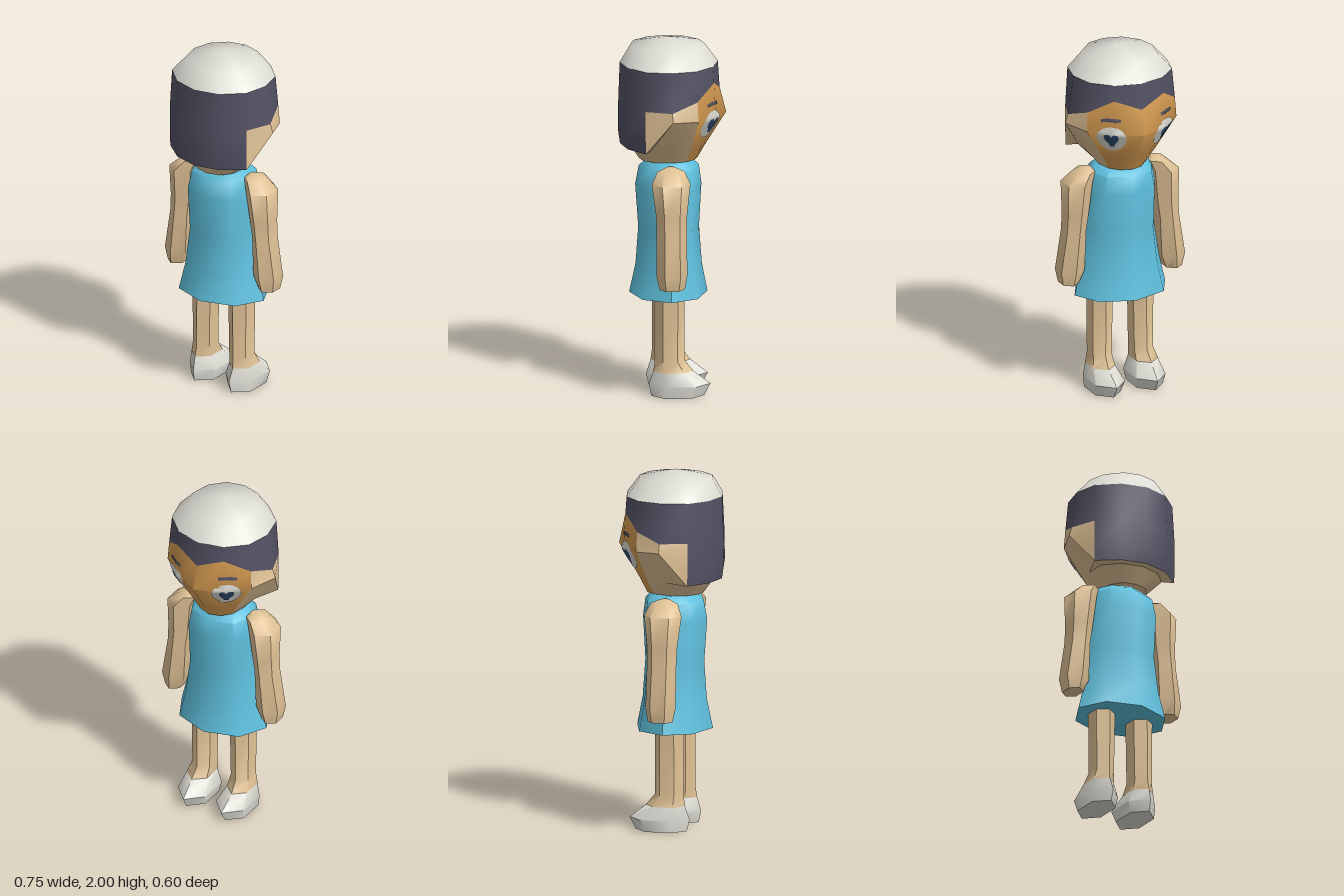
import * as THREE from 'three';
import { toCreasedNormals } from 'three/addons/utils/BufferGeometryUtils.js';

const mat = (name, color) => {
  const m = new THREE.MeshStandardMaterial({ color });
  m.name = name;
  return m;
};

// Mesh from a list of Vector3 triangles, dropping collapsed ones
function meshFrom(name, tris, material, crease = 0.9) {
  const pos = [];
  for (const [a, b, c] of tris) {
    const area = b.clone().sub(a).cross(c.clone().sub(a)).length();
    if (area > 1e-7) for (const p of [a, b, c]) pos.push(p.x, p.y, p.z);
  }
  const g = new THREE.BufferGeometry();
  g.setAttribute('position', new THREE.Float32BufferAttribute(pos, 3));
  const mesh = new THREE.Mesh(toCreasedNormals(g, crease), material);
  mesh.name = name;
  return mesh;
}

// Two triangles between neighbouring points of a lower and an upper ring
const quad = (low, up, k) => {
  const j = (k + 1) % low.length;
  return [[low[k], low[j], up[j]], [low[k], up[j], up[k]]];
};

// Closed loft through rings [cx, y, cz, halfWidthX, halfDepthZ], bottom to top
function loft(name, rings, n, material, side = 1) {
  const fit = n === 6 ? Math.cos(Math.PI / 6) : 1;
  const loops = rings.map(([cx, y, cz, rx, rz]) =>
    Array.from({ length: n }, (_, k) => {
      const a = (k / n) * Math.PI * 2;
      return new THREE.Vector3(side * cx + Math.sin(a) * rx / fit, y, cz + Math.cos(a) * rz);
    }));
  const tris = [];
  for (let r = 0; r + 1 < loops.length; r++)
    for (let k = 0; k < n; k++) tris.push(...quad(loops[r], loops[r + 1], k));
  const first = loops[0], last = loops[loops.length - 1];
  for (let k = 1; k + 1 < n; k++) {
    tris.push([first[0], first[k + 1], first[k]]);
    tris.push([last[0], last[k], last[k + 1]]);
  }
  return meshFrom(name, tris, material);
}

// Half a head ring from back (+z) to face (-z), mirrored to 12 points
function headRing(half, y) {
  const pts = half.map(p => p.length === 3
    ? new THREE.Vector3(...p) : new THREE.Vector3(p[0], y, p[1]));
  for (let k = 5; k >= 1; k--) pts.push(new THREE.Vector3(-pts[k].x, pts[k].y, pts[k].z));
  return pts;
}

function buildHead(m) {
  const head = new THREE.Group();
  head.name = 'head';
  const cheek = [[0.335, 1.59, 0.015], [0.272, 1.58, -0.13], [0.155, 1.57, -0.232], [0, 1.57, -0.298]];
  const rings = [
    headRing(Array(7).fill([0, 0.025]), 2),
    headRing([[0, 0.23], [0.1, 0.205], [0.175, 0.125], [0.2, 0.025], [0.175, -0.08], [0.1, -0.155], [0, -0.18]], 1.957),
    headRing([[0, 0.287], [0.145, 0.25], [0.255, 0.153], [0.285, 0.015], [0.25, -0.12], [0.145, -0.217], [0, -0.252]], 1.86),
    // hairline, dipping in the middle of the forehead
    headRing([[0, 1.64, 0.295], [0.15, 1.64, 0.26], [0.265, 1.64, 0.16], [0.318, 1.64, 0.015],
      [0.265, 1.69, -0.125], [0.15, 1.77, -0.222], [0, 1.71, -0.262]]),
    headRing([[0, 1.48, 0.297], [0.15, 1.48, 0.262], [0.265, 1.48, 0.16], ...cheek]),
    // lower edge of the hair
    headRing([[0, 1.4, 0.285], [0.145, 1.4, 0.25], [0.263, 1.4, 0.158], ...cheek]),
    headRing([[0, 0.24], [0.12, 0.21], [0.2, 0.13], [0.2, 0.015], [0.16, -0.096], [0.093, -0.155], [0, -0.19]], 1.4),
    headRing([[0, 0.18], [0.075, 0.16], [0.12, 0.1], [0.13, 0.015], [0.11, -0.07], [0.065, -0.12], [0, -0.14]], 1.315),
  ];
  const parts = { cap: [], hair: [], skin: [], face: [] };
  for (let s = 0; s < 7; s++) {
    for (let k = 0; k < 12; k++) {
      const c = k < 6 ? k : 11 - k;
      let part = c >= 4 ? 'face' : 'skin';
      if (s < 2) part = 'cap';
      else if (s === 2 || (s < 5 && c < 2)) part = 'hair';
      parts[part].push(...quad(rings[s + 1], rings[s], k));
    }
  }
  const chin = rings[7];
  for (let k = 1; k < 11; k++) parts.skin.push([chin[0], chin[k + 1], chin[k]]);
  head.add(meshFrom('cap', parts.cap, m.white, 1.2));
  head.add(meshFrom('hair', parts.hair, m.hair));
  head.add(meshFrom('headSkin', parts.skin, m.skin, 0.6));
  const face = meshFrom('face', parts.face, m.face);
  head.add(face);

  // Project (angle from the face centre, height) onto the face, lifted a little
  const ray = new THREE.Raycaster();
  const target = new THREE.Mesh(face.geometry, new THREE.MeshBasicMaterial({ side: THREE.DoubleSide }));
  const onFace = (deg, y, lift) => {
    const a = THREE.MathUtils.degToRad(deg);
    const dir = new THREE.Vector3(Math.sin(a), 0, -Math.cos(a));
    ray.set(new THREE.Vector3(0, y, 0.02), dir);
    const hit = ray.intersectObject(target)[0];
    const p = hit ? hit.point.clone() : new THREE.Vector3(0, y, 0.02).addScaledVector(dir, 0.27);
    return p.addScaledVector(dir, lift);
  };
  // Thin patch filled by rings shrinking towards its middle
  const patch = (name, outline, cx, cy, lift, material, side) => {
    const steps = 6, tris = [];
    const loops = Array.from({ length: steps + 1 }, (_, r) => outline.map(([x, y]) => {
      const p = onFace(cx + x * r / steps, cy + y * r / steps, lift);
      p.x *= side;
      return p;
    }));
    for (let r = 0; r < steps; r++)
      for (let k = 0; k < outline.length; k++) tris.push(...quad(loops[r], loops[r + 1], k));
    head.add(meshFrom(name, tris, material));
  };
  const oval = Array.from({ length: 28 }, (_, k) => {
    const a = (k / 28) * Math.PI * 2;
    return [17 * Math.cos(a), 0.08 * Math.sin(a)];
  });
  const heart = [[0, 0.025], [3, 0.042], [7, 0.038], [8.5, 0.018], [7, -0.005], [4, -0.02], [2.5, -0.042],
    [-2.5, -0.042], [-4, -0.02], [-7, -0.005], [-8.5, 0.018], [-7, 0.038], [-3, 0.042]];
  const brow = [[11, -0.012], [11, 0.006], [5, 0.013], [0, 0.014], [-5, 0.013], [-11, 0.006],
    [-11, -0.012], [-5, -0.008], [0, -0.007], [5, -0.008]];
  m.white.side = m.pupil.side = m.hair.side = THREE.DoubleSide;
  for (const side of [1, -1]) {
    patch('eyeWhite', oval, 35, 1.54, 0.004, m.white, side);
    patch('pupil', heart, 35, 1.535, 0.008, m.pupil, side);
    patch('eyebrow', brow, 35, 1.657, 0.005, m.hair, side);
  }
  return head;
}

export function createModel() {
  const m = {
    white: mat('offWhite', 0xdddcd4),
    hair: mat('darkHair', 0x545264),
    skin: mat('skin', 0xdfc195),
    face: mat('tanFace', 0xd79d52),
    dress: mat('blueDress', 0x5fc1de),
    pupil: mat('navyPupil', 0x2f4a70),
  };
  const model = new THREE.Group();
  model.name = 'figure';
  model.add(buildHead(m));
  model.add(loft('neck', [[0, 1.28, 0.015, 0.1, 0.1], [0, 1.33, 0.015, 0.1, 0.1]], 8, m.skin));

  // Flared dress
  model.add(loft('dress', [
    [0, 0.56, 0.02, 0.275, 0.215], [0, 0.72, 0.018, 0.235, 0.182], [0, 0.93, 0.018, 0.205, 0.167],
    [0, 1.17, 0.02, 0.212, 0.182], [0, 1.275, 0.017, 0.19, 0.165], [0, 1.315, 0.015, 0.15, 0.12],
  ], 8, m.dress));

  for (const side of [1, -1]) {
    // Arms hang with slightly flared hands
    model.add(loft('arm', [
      [0.313, 0.645, 0.018, 0.047, 0.07], [0.305, 0.72, 0.018, 0.07, 0.085], [0.282, 0.95, 0.018, 0.057, 0.083],
      [0.272, 1.05, 0.018, 0.062, 0.085], [0.263, 1.23, 0.02, 0.072, 0.106],
      [0.218, 1.29, 0.018, 0.05, 0.075], [0.205, 1.308, 0.018, 0.025, 0.03],
    ], 6, m.skin, side));
    model.add(loft('leg', [
      [0.13, 0.14, 0, 0.065, 0.11], [0.125, 0.2, 0.02, 0.056, 0.082], [0.123, 0.62, 0.02, 0.062, 0.082],
    ], 6, m.skin, side));
    model.add(loft('shoe', [
      [0.127, 0, -0.025, 0.077, 0.145], [0.123, 0.065, -0.035, 0.088, 0.17], [0.13, 0.14, 0, 0.065, 0.11],
    ], 6, m.white, side));
  }
  return model;
}
